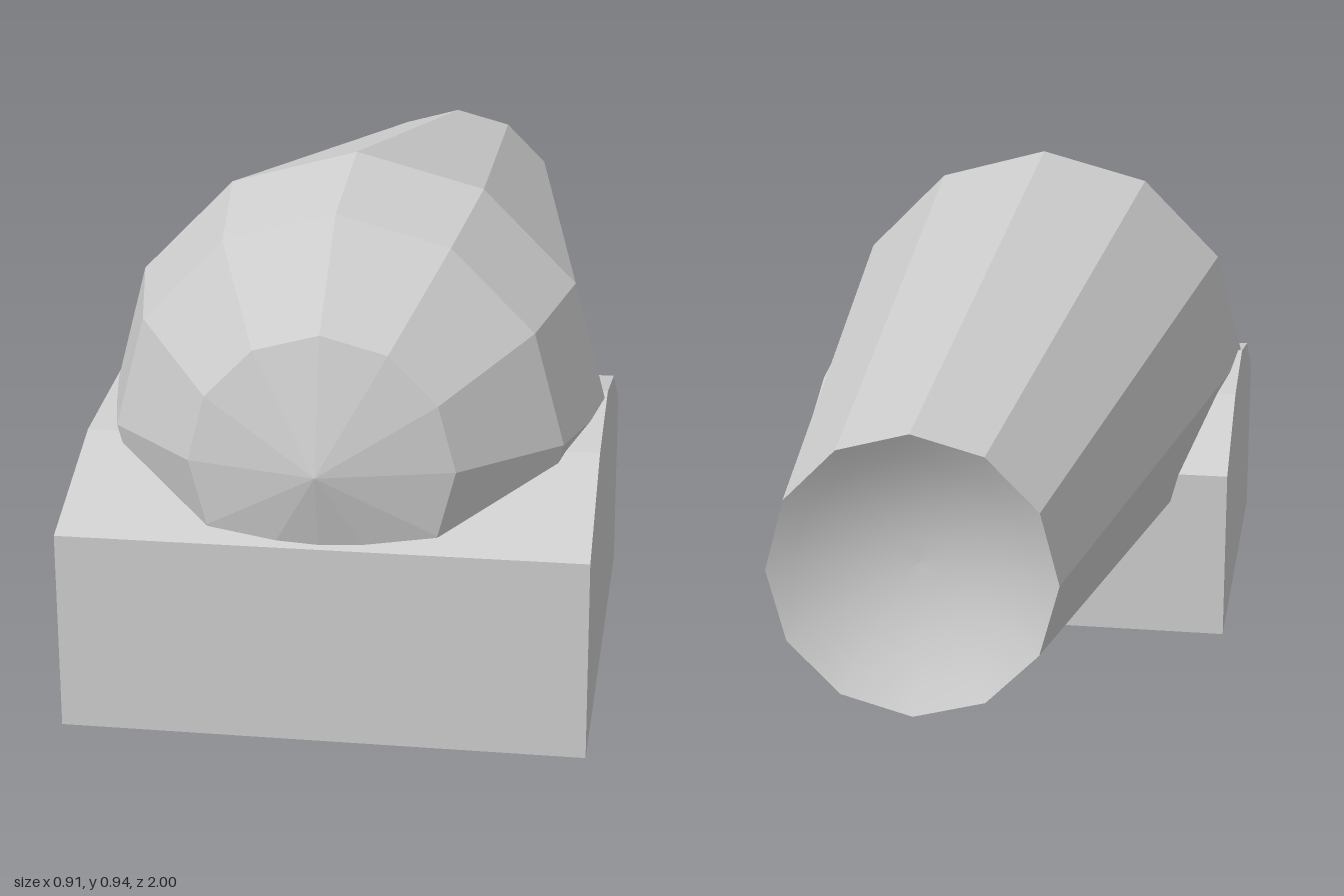
import * as THREE from 'three';

const SIDES = 12, AXIS_Y = 0.485, R = 0.455, TAIL_R = 0.247, CENTRE_Z = 0.54;

// Revolves [radius, z] points about the barrel's long axis
function revolve(points) {
  const g = new THREE.LatheGeometry(points.map(([r, z]) => new THREE.Vector2(r, z)), SIDES);
  g.rotateX(Math.PI / 2);
  g.translate(0, AXIS_Y, 0);
  return g;
}

function faceted(geometry) {
  const g = geometry.toNonIndexed();
  g.computeVertexNormals();
  return g;
}

export function createModel() {
  const model = new THREE.Group();
  model.name = 'mountedBarrel';
  const grey = new THREE.MeshStandardMaterial({ color: 0xcccccc });
  grey.name = 'lightGrey';

  const add = (name, geometry) => {
    const mesh = new THREE.Mesh(geometry, grey);
    mesh.name = name;
    model.add(mesh);
  };

  // Tapered barrel closed by a faceted dome at the front
  const profile = [[TAIL_R, -1]];
  for (let i = 0; i <= 3; i++) {
    const a = (i * Math.PI) / 6;
    profile.push([i === 3 ? 0 : R * Math.cos(a), CENTRE_Z + R * Math.sin(a)]);
  }
  add('barrel', faceted(revolve(profile)));

  // Smooth shallow hollow in the rear end
  const hollow = [];
  for (let i = 0; i <= 6; i++) {
    const t = i / 6;
    hollow.push([TAIL_R * t, -0.92 - 0.08 * t * t]);
  }
  add('rearHollow', revolve(hollow));

  // Block with an arched top, extruded across the width
  const side = new THREE.Shape([
    [0.06, 0], [0.97, 0], [0.97, 0.35], [0.742, 0.465],
    [0.515, 0.505], [0.288, 0.465], [0.06, 0.35],
  ].map(([z, y]) => new THREE.Vector2(z, y)));
  const block = new THREE.ExtrudeGeometry(side, { depth: 2 * R, bevelEnabled: false });
  block.translate(0, 0, -R);
  block.rotateY(-Math.PI / 2);
  add('base', block);

  return model;
}
